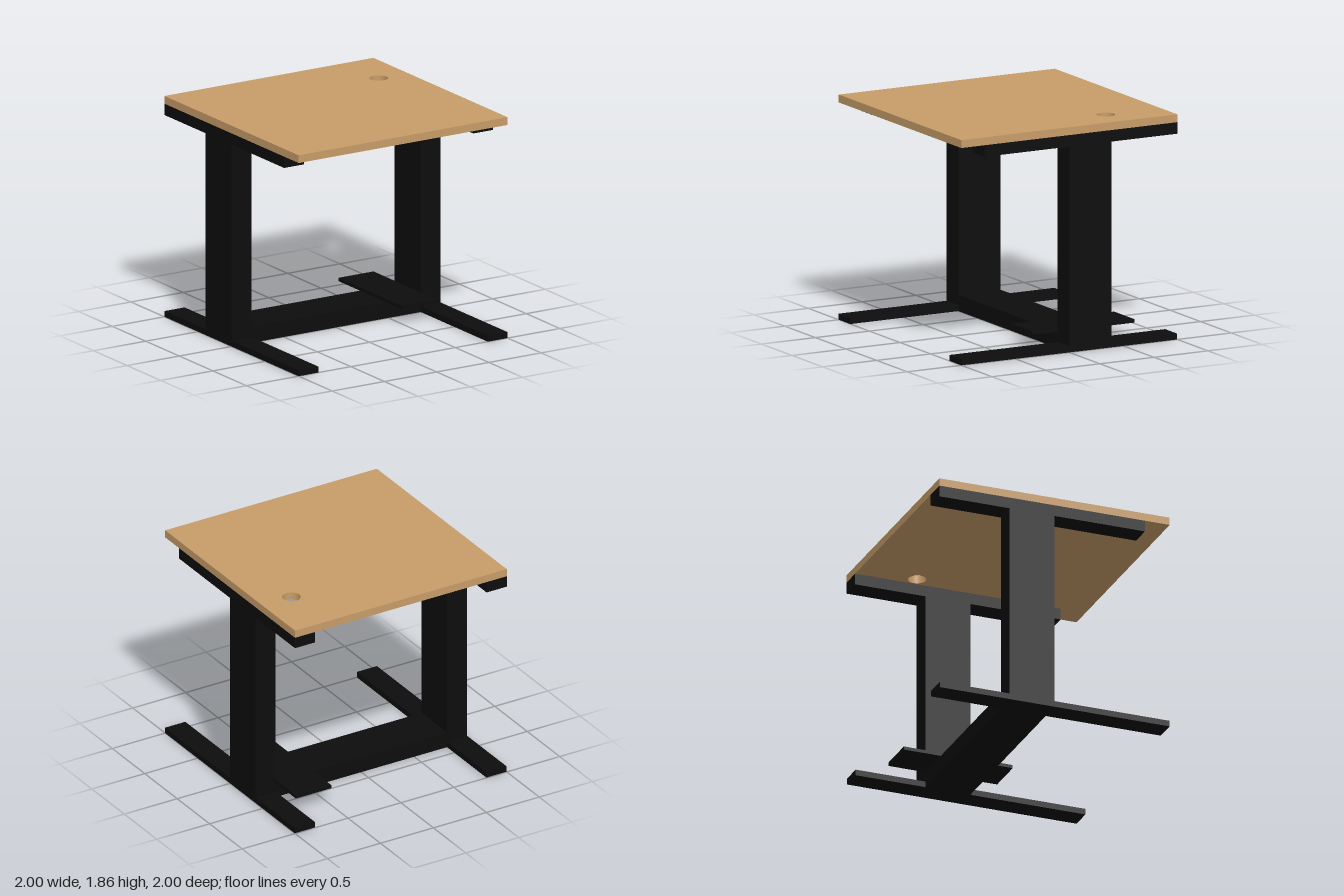
import * as THREE from 'three';

const wood = new THREE.MeshStandardMaterial({ color: 0xc89d69 });
wood.name = 'lightWood';
const black = new THREE.MeshStandardMaterial({ color: 0x0d0d0d });
black.name = 'blackMetal';

// Box given by its extents along each axis
function box(name, [x0, x1], [y0, y1], [z0, z1]) {
  const mesh = new THREE.Mesh(new THREE.BoxGeometry(x1 - x0, y1 - y0, z1 - z0), black);
  mesh.position.set((x0 + x1) / 2, (y0 + y1) / 2, (z0 + z1) / 2);
  mesh.name = name;
  return mesh;
}

export function createModel() {
  const desk = new THREE.Group();
  desk.name = 'desk';

  // Tabletop with a round cable hole, drawn in plan and laid flat
  const plan = new THREE.Shape([[-1, -1], [1, -1], [1, 1], [-1, 1]].map(p => new THREE.Vector2(...p)));
  plan.holes.push(new THREE.Path().absarc(0.725, 0.495, 0.075, 0, Math.PI * 2, true));
  const slab = new THREE.ExtrudeGeometry(plan, { depth: 0.065, bevelEnabled: false, curveSegments: 32 });
  slab.rotateX(-Math.PI / 2);
  const tabletop = new THREE.Mesh(slab, wood);
  tabletop.name = 'tabletop';
  tabletop.position.y = 1.79;
  desk.add(tabletop);

  // Side frames: foot, column and rail under the top
  for (const [side, xs] of [['left', [0.81, 1]], ['right', [-1, -0.81]]]) {
    const frame = new THREE.Group();
    frame.name = side + 'Frame';
    frame.add(
      box(side + 'Foot', xs, [0, 0.05], [-0.995, 1]),
      box(side + 'Column', xs, [0.05, 1.79], [-0.39, 0]),
      box(side + 'TopRail', xs, [1.695, 1.79], [-1, 0.785]),
    );
    desk.add(frame);
  }

  // Low beam joining the frames, and the shelf plate resting on it
  desk.add(
    box('crossBeam', [-0.81, 0.81], [0, 0.135], [-0.39, 0]),
    box('shelfPlate', [0.48, 0.815], [0.135, 0.163], [-0.71, 0.235]),
  );
  return desk;
}
